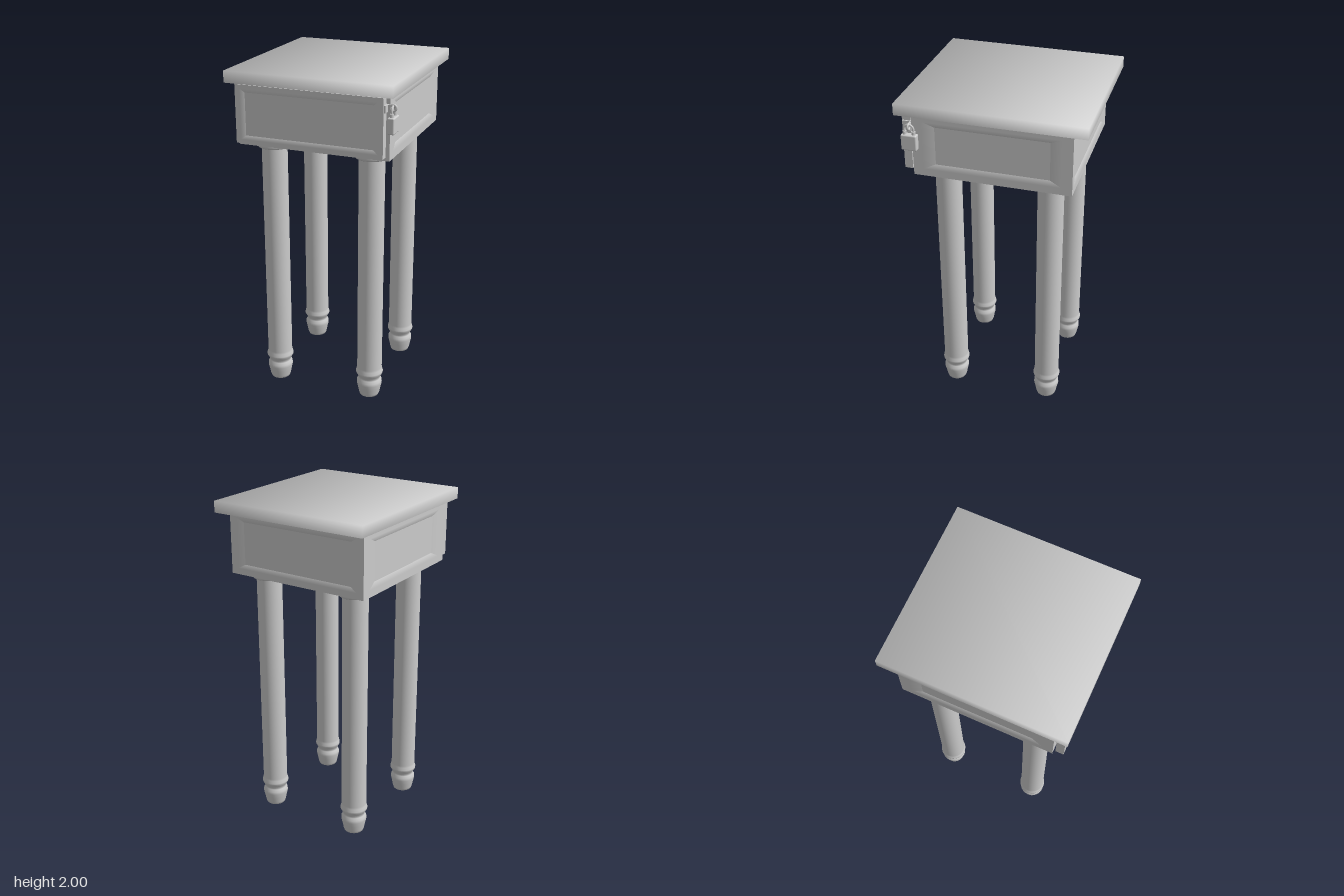
import * as THREE from 'three';
import { RoundedBoxGeometry } from 'three/addons/geometries/RoundedBoxGeometry.js';

const grey = new THREE.MeshStandardMaterial({ color: 0xcccccc });

function add(parent, name, geometry, x = 0, y = 0, z = 0) {
  const mesh = new THREE.Mesh(geometry, grey);
  mesh.name = name;
  mesh.position.set(x, y, z);
  parent.add(mesh);
  return mesh;
}

// Joins rectangles [width, height, z] in order and closes the last one.
// The frame lies at z = 0; bevels fade softly into it.
function panelGeometry(rings) {
  const loops = rings.map(([w, h, z]) =>
    [[-1, -1], [1, -1], [1, 1], [-1, 1]].map(([sx, sy]) => [sx * w / 2, sy * h / 2, z]));
  const points = [];
  const quad = (a, b, c, d) => points.push(...a, ...b, ...c, ...a, ...c, ...d);
  for (let i = 0; i + 1 < loops.length; i++) {
    const a = loops[i], b = loops[i + 1];
    for (let k = 0; k < 4; k++) {
      const n = (k + 1) % 4;
      quad(a[k], a[n], b[n], b[k]);
    }
  }
  quad(...loops[loops.length - 1]);
  const geometry = new THREE.BufferGeometry();
  geometry.setAttribute('position', new THREE.Float32BufferAttribute(points, 3));
  geometry.computeVertexNormals();
  const p = geometry.attributes.position, normal = geometry.attributes.normal;
  for (let i = 0; i < p.count; i++) {
    if (p.getZ(i) === 0 && normal.getZ(i) > 0.3) normal.setXYZ(i, 0, 0, 1);
  }
  return geometry;
}

// Slab whose top and rim share softened corner normals; the underside stays flat.
function tabletopGeometry(w, h, d) {
  const geometry = new THREE.BoxGeometry(w, h, d);
  const p = geometry.attributes.position, n = geometry.attributes.normal;
  const v = new THREE.Vector3();
  for (let i = 0; i < p.count; i++) {
    if (n.getY(i) < -0.5) continue;
    const sx = Math.sign(p.getX(i)), sz = Math.sign(p.getZ(i));
    if (p.getY(i) > 0) v.set(sx * 0.6, 1, sz * 0.6);
    else v.set(sx, 0, sz);
    v.normalize();
    n.setXYZ(i, v.x, v.y, v.z);
  }
  return geometry;
}

function latheGeometry(profile) {
  return new THREE.LatheGeometry(profile.map(([r, y]) => new THREE.Vector2(r, y)), 32);
}

function createPadlock() {
  const lock = new THREE.Group();
  lock.name = 'padlock';
  lock.position.set(0.468, 0, 0.456);
  add(lock, 'lockBody', new RoundedBoxGeometry(0.04, 0.092, 0.09, 3, 0.008), 0, 1.774, 0);

  // Shackle: an upright U with short collars where it enters the body
  const half = 0.026;
  const path = new THREE.CurvePath();
  const at = (y, z) => new THREE.Vector3(0, y, z);
  path.add(new THREE.LineCurve3(at(1.8, -half), at(1.85, -half)));
  path.add(new THREE.CubicBezierCurve3(at(1.85, -half), at(1.885, -half), at(1.885, half), at(1.85, half)));
  path.add(new THREE.LineCurve3(at(1.85, half), at(1.8, half)));
  add(lock, 'shackle', new THREE.TubeGeometry(path, 40, 0.006, 10));
  for (const s of [-1, 1]) {
    add(lock, 'shackleCollar', new THREE.CylinderGeometry(0.011, 0.011, 0.022, 16), 0, 1.828, s * half);
  }

  // Staple on the cabinet side and hasp arm from the drawer
  add(lock, 'staple', new THREE.TorusGeometry(0.017, 0.006, 10, 24), 0, 1.865, 0);
  add(lock, 'stapleStem', new THREE.BoxGeometry(0.03, 0.035, 0.012), -0.03, 1.863, 0);
  add(lock, 'haspArm', new THREE.BoxGeometry(0.012, 0.04, 0.05), -0.034, 1.863, 0.022);
  return lock;
}

export function createModel() {
  const table = new THREE.Group();
  table.name = 'sideTable';

  add(table, 'tabletop', tabletopGeometry(0.98, 0.067, 1.064), 0, 1.9665, 0);

  const base = new THREE.Group();
  base.name = 'base';
  table.add(base);

  // Cabinet: recessed panels on the sides and back, plain front, floor and ceiling
  const size = 0.898, height = 0.37, midY = 1.75;
  const recessed = panelGeometry([[size, height, 0], [0.78, 0.285, 0], [0.645, 0.225, -0.012]]);
  const recessedBack = panelGeometry([[size, height, 0], [0.81, 0.3, 0], [0.72, 0.25, -0.012]]);
  const sides = [['leftSide', 1, recessed], ['back', 2, recessedBack], ['rightSide', 3, recessed]];
  for (const [name, turn, geometry] of sides) {
    const angle = turn * Math.PI / 2;
    const side = add(base, name, geometry, Math.sin(angle) * size / 2, midY, Math.cos(angle) * size / 2);
    side.rotation.y = angle;
  }
  add(base, 'cabinetFront', new THREE.PlaneGeometry(size, height), 0, midY, size / 2);
  add(base, 'cabinetFloor', new THREE.PlaneGeometry(size, size), 0, midY - height / 2, 0).rotation.x = Math.PI / 2;
  add(base, 'cabinetCeiling', new THREE.PlaneGeometry(size, size), 0, midY + height / 2, 0).rotation.x = -Math.PI / 2;

  // Drawer standing slightly proud of the cabinet
  add(base, 'drawerBox', new THREE.BoxGeometry(0.76, 0.255, 0.06), 0, 1.7725, 0.435);
  add(base, 'drawerFront', panelGeometry([
    [0.7, 0.2, -0.047], [0.868, 0.335, -0.047], [0.868, 0.335, 0], [0.81, 0.29, 0], [0.755, 0.245, -0.009],
  ]), -0.003, 1.7575, 0.508);

  // Turned legs with bulbous feet and collars
  const leg = latheGeometry([[0, 0], [0.048, 0], [0.058, 0.006], [0.063, 0.02], [0.07, 0.055], [0.077, 0.085],
    [0.076, 0.103], [0.067, 0.118], [0.065, 0.127], [0.073, 0.142], [0.082, 0.158], [0.082, 0.168],
    [0.077, 0.185], [0.075, 0.198], [0.075, 1.53], [0.075, 1.57]]);
  const collar = latheGeometry([[0.074, 1.53], [0.092, 1.53], [0.098, 1.535], [0.1, 1.545], [0.1, 1.568]]);
  for (const x of [-0.302, 0.298]) {
    for (const z of [-0.298, 0.302]) {
      add(base, 'leg', leg, x, 0, z);
      add(base, 'legCollar', collar, x, 0, z);
    }
  }

  table.add(createPadlock());
  return table;
}
